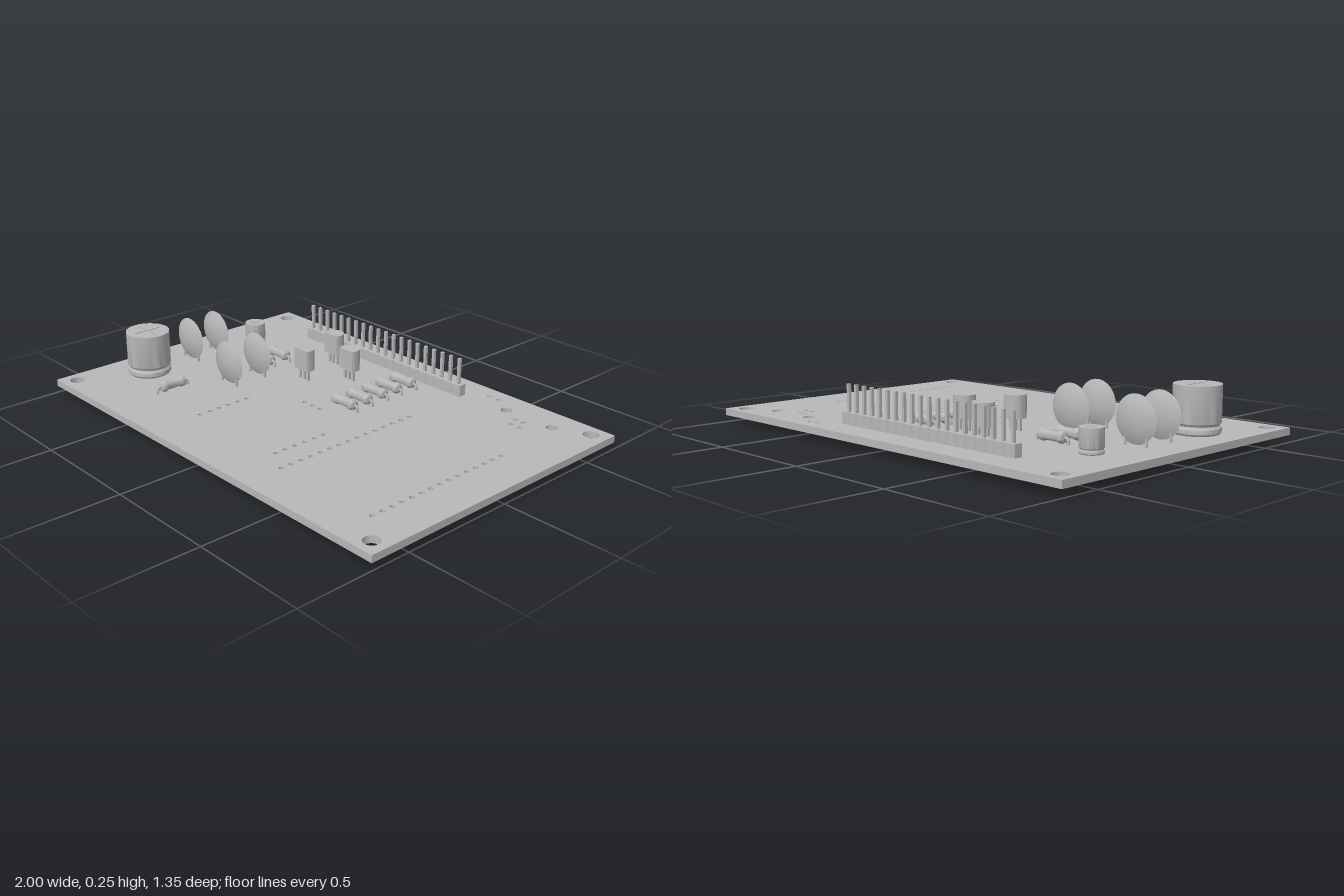
import * as THREE from 'three';
import { toCreasedNormals } from 'three/addons/utils/BufferGeometryUtils.js';

const grey = new THREE.MeshStandardMaterial({ color: 0xb8b8b8 });
grey.name = 'plain grey';
const TOP = 0.06, BOTTOM = 0.03;

function add(parent, name, geometry, x = 0, y = 0, z = 0) {
  const mesh = new THREE.Mesh(geometry, grey);
  mesh.name = name;
  mesh.position.set(x, y, z);
  parent.add(mesh);
  return mesh;
}

function group(parent, name, x, z) {
  const g = new THREE.Group();
  g.name = name;
  g.position.set(x, 0, z);
  parent.add(g);
  return g;
}

function lathe(points, segments = 40) {
  const g = new THREE.LatheGeometry(points.map(p => new THREE.Vector2(...p)), segments);
  return toCreasedNormals(g, 0.6);
}

// Straight round lead from y0 up to y1
function lead(parent, x, z, y0, y1, r = 0.006) {
  add(parent, 'lead', new THREE.CylinderGeometry(r, r, y1 - y0, 10), x, (y0 + y1) / 2, z);
}

const circle = (x, y, r) => new THREE.Path().absarc(x, y, r, 0, Math.PI * 2, true);
const pinX = i => -0.635 + i * 0.0493;
const HEADER_Z = -0.527;

// Board with mounting, component and header holes
function board(parent) {
  const s = new THREE.Shape();
  s.moveTo(-1, -0.677).lineTo(1, -0.677).lineTo(1, 0.677).lineTo(-1, 0.677).closePath();
  const hole = (x, z, r = 0.011) => s.holes.push(circle(x, -z, r));
  for (const x of [-0.935, 0.932]) for (const z of [-0.613, 0.611]) hole(x, z, 0.033);
  hole(0.552, -0.55, 0.025);
  hole(0.785, -0.55, 0.025);
  for (const [x, z] of [[0.41, -0.608], [0.459, -0.608], [0.64, -0.503], [0.678, -0.503],
    [0.656, -0.455], [0.699, -0.455], [-0.077, 0.02], [-0.027, 0.02], [0.022, 0.02]]) hole(x, z);
  for (const x of [-0.27, 0.217]) for (let i = 0; i < 6; i++) hole(x, 0.18 + i * 0.0493);
  for (const x of [0.327, 0.814]) for (let i = 0; i < 15; i++) hole(x, -0.2 + i * 0.0495);
  for (let i = 0; i < 20; i++) hole(pinX(i), HEADER_Z);
  const g = new THREE.ExtrudeGeometry(s, { depth: TOP - BOTTOM, bevelEnabled: false, curveSegments: 10 });
  g.rotateX(-Math.PI / 2);
  add(parent, 'board', g, 0, BOTTOM, 0);
}

// Row of chamfered header blocks, each with a square pin
function header(parent) {
  const g = group(parent, 'pinHeader', 0, HEADER_Z);
  const w = 0.0247, d = 0.023, c = 0.006;
  const s = new THREE.Shape([[-w, -d + c], [-w + c, -d], [w - c, -d], [w, -d + c],
    [w, d - c], [w - c, d], [-w + c, d], [-w, d - c]].map(p => new THREE.Vector2(...p)));
  const block = new THREE.ExtrudeGeometry(s, { depth: 0.05, bevelEnabled: false });
  block.rotateX(-Math.PI / 2);
  const pin = new THREE.BoxGeometry(0.013, 0.225, 0.013);
  for (let i = 0; i < 20; i++) {
    add(g, 'headerBlock', block, pinX(i), TOP, 0);
    add(g, 'headerPin', pin, pinX(i), 0.1125, 0);
  }
}

// Can capacitor: crimped body and a lid with a cross-shaped score
function canCapacitor(parent, x, z, r, height, spread) {
  const g = group(parent, 'canCapacitor', x, z);
  const h = height - 0.004, n = r * 0.08;
  add(g, 'can', lathe([[0, 0], [r * 0.94, 0], [r, n], [r, r * 0.26], [r - n * 0.7, r * 0.31],
    [r - n, r * 0.37], [r - n * 0.7, r * 0.43], [r, r * 0.48], [r, h], [0, h]]), 0, TOP, 0);
  const lid = new THREE.Shape().absarc(0, 0, r, 0, Math.PI * 2, false);
  const a = r * 0.04, b = r * 0.68;
  lid.holes.push(new THREE.Path([[a, a], [a, b], [-a, b], [-a, a], [-b, a], [-b, -a], [-a, -a],
    [-a, -b], [a, -b], [a, -a], [b, -a], [b, a]].map(p => new THREE.Vector2(...p))));
  const lidGeometry = new THREE.ExtrudeGeometry(lid, { depth: 0.004, bevelEnabled: false, curveSegments: 40 });
  lidGeometry.rotateX(-Math.PI / 2);
  add(g, 'scoredLid', lidGeometry, 0, TOP + h, 0);
  for (const side of [-1, 1]) lead(g, side * spread, 0, 0.024, TOP + 0.01);
}

// Lens-shaped disc capacitor standing on two leads
function discCapacitor(parent, x, z) {
  const g = group(parent, 'discCapacitor', x, z);
  const R = 0.095, T = 0.023, profile = [];
  for (let i = 0; i <= 16; i++) {
    const t = -1 + i / 8;
    profile.push([R * (1 - t * t) ** 0.5, T * t]);
  }
  // flatten the ellipse towards a sharp-rimmed lens
  const lens = profile.map(([r, y]) => [r, Math.sign(y) * T * (1 - (r / R) ** 2)]);
  lens[0][0] = lens[16][0] = 0;
  const geometry = lathe(lens, 48);
  geometry.rotateX(Math.PI / 2);
  add(g, 'disc', geometry, 0, 0.16, 0);
  for (const side of [-1, 1]) lead(g, side * 0.05, 0, 0.024, 0.11);
}

// Resistor with swollen ends and bent leads
const resistorBody = lathe([[0, -0.063], [0.013, -0.063], [0.021, -0.058], [0.0245, -0.048],
  [0.0235, -0.037], [0.0195, -0.03], [0.0195, 0.03], [0.0235, 0.037], [0.0245, 0.048],
  [0.021, 0.058], [0.013, 0.063], [0, 0.063]], 24);
resistorBody.rotateZ(-Math.PI / 2);
const bentLead = new THREE.TubeGeometry(new THREE.CatmullRomCurve3([
  [0.058, 0.085, 0], [0.067, 0.085, 0], [0.075, 0.081, 0], [0.078, 0.072, 0],
  [0.078, 0.04, 0], [0.078, 0.003, 0]].map(p => new THREE.Vector3(...p))), 16, 0.006, 8);
function resistor(parent, x, z, turn = 0) {
  const g = group(parent, 'resistor', x, z);
  g.rotation.y = turn;
  add(g, 'resistorBody', resistorBody, 0, 0.085, 0);
  for (const a of [0, Math.PI]) {
    add(g, 'bentLead', bentLead).rotation.y = a;
    const tip = add(g, 'leadTip', new THREE.CylinderGeometry(0.006, 0.006, 0.006, 8), Math.cos(a) * 0.078, 0.003, 0);
    tip.rotation.y = a;
  }
}

// Transistor: round back, flat face to the front, three leads
const dShape = new THREE.Shape();
dShape.absarc(0, 0, 0.046, -0.49, Math.PI + 0.49, false);
dShape.closePath();
const dBody = new THREE.ExtrudeGeometry(dShape, { depth: 0.095, bevelEnabled: false, curveSegments: 24 });
dBody.rotateX(-Math.PI / 2);
const transistorBody = toCreasedNormals(dBody, 0.6);
function transistor(parent, x, z) {
  const g = group(parent, 'transistor', x, z);
  add(g, 'transistorBody', transistorBody, 0, 0.11, 0);
  for (const i of [-1, 0, 1]) {
    add(g, 'transistorLead', new THREE.BoxGeometry(0.01, 0.1, 0.01), i * 0.026, 0.064, 0);
  }
}

export function createModel() {
  const model = new THREE.Group();
  model.name = 'circuitBoard';
  board(model);
  header(model);
  canCapacitor(model, -0.808, 0.312, 0.096, 0.195, 0.05);
  canCapacitor(model, -0.785, -0.285, 0.047, 0.097, 0.025);
  for (const [x, z] of [[-0.81, -0.068], [-0.455, -0.027], [-0.81, 0.078], [-0.455, 0.131]]) discCapacitor(model, x, z);
  for (const z of [-0.423, -0.335, -0.25, -0.158, -0.072]) resistor(model, 0.072, z);
  for (const z of [-0.23, -0.14]) resistor(model, -0.547, z);
  resistor(model, -0.57, 0.355, Math.PI / 2);
  for (const [x, z] of [[-0.325, -0.374], [-0.135, -0.293], [-0.27, -0.146]]) transistor(model, x, z);
  return model;
}
